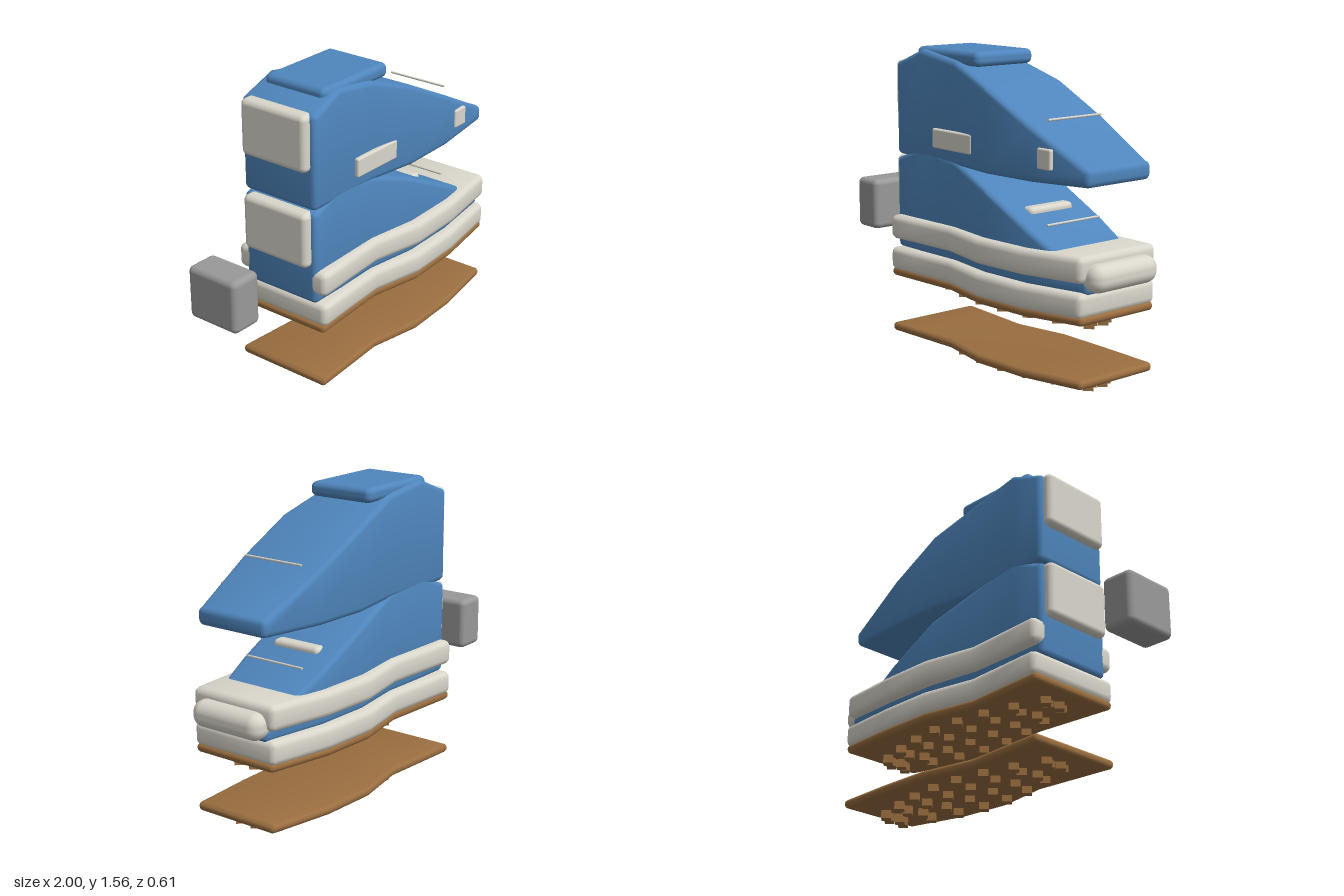
import * as THREE from 'three';
import { toCreasedNormals } from 'three/addons/utils/BufferGeometryUtils.js';
import { RoundedBoxGeometry } from 'three/addons/geometries/RoundedBoxGeometry.js';

const mat = (color) => new THREE.MeshStandardMaterial({ color });
const BLUE = mat(0x4f86bd), CREAM = mat(0xd9d6cb), TAN = mat(0x9a6e40), GREY = mat(0x999999);

// Stations along the shoe, heel to toe
const XS = [-0.51, -0.31, -0.05, 0.24, 0.55, 0.92];
const SOLE_WIDTH = [0.28, 0.268, 0.25, 0.305, 0.295, 0.25];
const SOLE_RISE = [0, 0, 0, 0, 0.004, 0.018];
const SHOE_WIDTH = [0.226, 0.22, 0.21, 0.25, 0.245, 0.207];
const SHOE_TOP = [0.49, 0.56, 0.52, 0.42, 0.27, 0.1];
const SHOE_BOTTOM = [0, -0.005, -0.006, -0.007, -0.003, 0.01];

// Rounded rectangle across x, ordered so the skin faces outward
function ring({ x, y0, y1, w }, r, inset) {
  const points = [], c = Math.max(r - inset, 0.001);
  for (let k = 0; k < 4; k++) {
    for (let s = 0; s <= 3; s++) {
      const a = (k + s / 3) * Math.PI / 2;
      const top = k === 0 || k === 3, left = k < 2;
      points.push([x,
        (top ? y1 - inset - c : y0 + inset + c) + c * Math.cos(a),
        (left ? 1 : -1) * (w - inset - c) + c * Math.sin(a)]);
    }
  }
  return points;
}

// Skin through the sections, with rounded edges at both ends
function loft(sections, r) {
  const rings = [], last = sections.length - 1;
  const rounds = [0, 1, 2, 3].map((k) => k * Math.PI / 6);
  const end = (s, dir, a) =>
    ring({ ...s, x: s.x + dir * r * (1 - Math.sin(a)) }, r, r * (1 - Math.sin(Math.PI / 2 - a)));
  for (const a of [...rounds].reverse()) rings.push(end(sections[0], 1, a));
  for (let i = 1; i < last; i++) rings.push(ring(sections[i], r, 0));
  for (const a of rounds) rings.push(end(sections[last], -1, a));

  const n = rings[0].length, index = [];
  for (let i = 0; i < rings.length - 1; i++) {
    for (let j = 0; j < n; j++) {
      const a = i * n + j, b = i * n + (j + 1) % n;
      index.push(a, b, a + n, b, b + n, a + n);
    }
  }
  const e = (rings.length - 1) * n;
  for (let j = 1; j < n - 1; j++) index.push(0, j + 1, j, e, e + j, e + j + 1);
  const g = new THREE.BufferGeometry();
  g.setAttribute('position', new THREE.Float32BufferAttribute(rings.flat(2), 3));
  g.setIndex(index);
  return toCreasedNormals(g, 0.6);
}

function add(parent, name, geometry, material, x = 0, y = 0, z = 0) {
  const mesh = new THREE.Mesh(geometry, material);
  mesh.name = name;
  mesh.position.set(x, y, z);
  parent.add(mesh);
  return mesh;
}

// Rounded box given by its limits in x and y, and its centre and depth in z
function block(parent, name, material, [x0, x1], [y0, y1], depth, r, z = 0) {
  const g = new RoundedBoxGeometry(x1 - x0, y1 - y0, depth, 3, r);
  return add(parent, name, g, material, (x0 + x1) / 2, (y0 + y1) / 2, z);
}

// Curved layer of the sole, its toe slightly raised
function layer(y0, y1, trim, r, toe = 1) {
  return loft(XS.map((x, i) => ({
    x, y0: y0 + SOLE_RISE[i] * toe, y1: y1 + SOLE_RISE[i] * toe, w: SOLE_WIDTH[i] - trim,
  })), r);
}

// Outsole plate with rows of small diagonal studs
function outsole(name, y) {
  const group = new THREE.Group();
  group.name = name;
  group.position.y = y;
  add(group, 'outsolePlate', layer(0.035, 0.08, 0.01, 0.02, 1.2), TAN);
  const stud = new THREE.BoxGeometry(0.05, 0.045, 0.05);
  for (let i = 0; i < 8; i++) {
    const spread = 0.07 + 0.12 * Math.sin(Math.PI * i / 7);
    for (let j = 0; j < 4; j++) {
      const m = add(group, 'tread', stud, TAN,
        -0.37 + i * 0.165 + (j % 2 ? 0.014 : -0.014), 0.0225, spread * (j / 1.5 - 1));
      m.rotation.y = Math.PI / 4;
    }
  }
  return group;
}

// Shoe upper with its heel counter and lace
function upper(name, y) {
  const group = new THREE.Group();
  group.name = name;
  group.position.y = y;
  const sections = XS.map((x, i) => ({
    x: i ? x : x - 0.002, y0: SHOE_BOTTOM[i], y1: SHOE_TOP[i], w: SHOE_WIDTH[i],
  }));
  add(group, 'upperShell', loft(sections, 0.028), BLUE);
  block(group, 'heelCounter', CREAM, [-0.555, -0.465], [0.2, 0.49], 0.4, 0.03);
  const lace = add(group, 'lace', new THREE.CylinderGeometry(0.006, 0.006, 0.34, 8), CREAM, 0.61, 0.29);
  lace.rotation.x = Math.PI / 2;
  return group;
}

export function createModel() {
  const model = new THREE.Group();
  model.name = 'explodedShoe';

  // Outsoles and cushioning layers
  model.add(outsole('lowerOutsole', 0), outsole('upperOutsole', 0.305));
  add(model, 'lowerMidsole', layer(0.375, 0.497, 0, 0.032), CREAM);
  add(model, 'upperMidsole', layer(0.542, 0.67, 0, 0.032), CREAM);

  // Two uppers, one lifted above the other
  model.add(upper('innerUpper', 0.49), upper('outerUpper', 0.99));

  // Toe bumper and strap
  block(model, 'toeBumper', CREAM, [0.855, 0.995], [0.515, 0.65], 0.42, 0.06);
  block(model, 'toeStrap', CREAM, [0.385, 0.46], [0.785, 0.835], 0.28, 0.023);

  // Collar pad on top and patches on the left side
  block(model, 'collarPad', BLUE, [-0.39, 0.105], [1.485, 1.56], 0.37, 0.03);
  block(model, 'sidePatch', CREAM, [-0.195, 0.12], [1.06, 1.16], 0.03, 0.01, 0.222);
  block(model, 'toePatch', CREAM, [0.615, 0.71], [1.06, 1.16], 0.03, 0.01, 0.232);

  // Detached heel block
  block(model, 'heelBlock', GREY, [-1, -0.825], [0.515, 0.79], 0.3, 0.03);
  return model;
}
